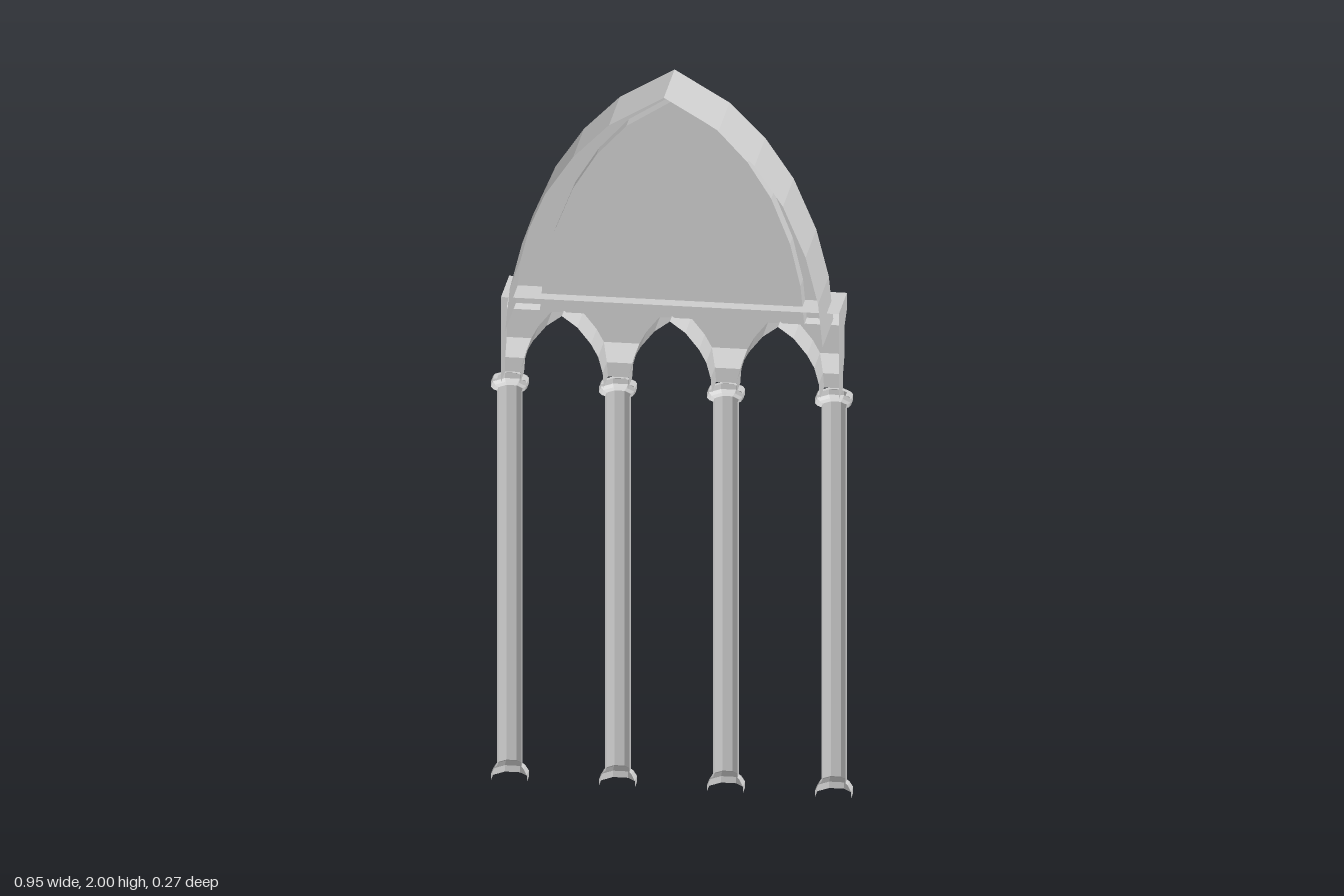
import * as THREE from 'three';

const stone = new THREE.MeshStandardMaterial({ color: 0xcccccc, flatShading: true, side: THREE.DoubleSide });
stone.name = 'pale stone';

const columnX = [-0.429, -0.143, 0.143, 0.429];
const END = 0.447, FRONT = 0.02;

// Faceted sheet through rows of points, all rows having the same length
function loft(rows) {
  const pos = [];
  for (let i = 0; i + 1 < rows.length; i++) {
    for (let j = 0; j + 1 < rows[i].length; j++) {
      const a = rows[i][j], b = rows[i][j + 1], c = rows[i + 1][j + 1], d = rows[i + 1][j];
      pos.push(...a, ...b, ...c, ...a, ...c, ...d);
    }
  }
  const geo = new THREE.BufferGeometry();
  geo.setAttribute('position', new THREE.Float32BufferAttribute(pos, 3));
  geo.computeVertexNormals();
  return geo;
}

function part(name, geo, parent) {
  const mesh = new THREE.Mesh(geo, stone);
  mesh.name = name;
  parent.add(mesh);
  return mesh;
}

// Five back faces of an octagonal turning; profile radii are measured to the flats
function halfOctagon(profile) {
  const k = 1 / Math.cos(Math.PI / 8);
  const pts = profile.map(([r, y]) => new THREE.Vector2(r * k, y));
  return new THREE.LatheGeometry(pts, 5, Math.PI * 3 / 8, Math.PI * 5 / 4).toNonIndexed();
}

// Half of the pointed arch, from foot to apex
const half = [[0.42, 1.32], [0.408, 1.44], [0.375, 1.57], [0.315, 1.71], [0.24, 1.82], [0.145, 1.915], [0, 2]];
const mirrored = (pts) => [...pts, ...pts.slice(0, -1).reverse().map(([x, y]) => [-x, y])];
const outer = mirrored(half);
const inner = mirrored(half.map(([x, y]) => [x * 0.833, 1.32 + (y - 1.32) * 0.897]));
const at = (pts, z) => pts.map(([x, y]) => [x, y, z]);

export function createModel() {
  const model = new THREE.Group();
  model.name = 'gothicArcade';

  // Columns, open towards the front
  for (const x of columnX) {
    const column = new THREE.Group();
    column.name = 'column';
    column.position.set(x, 0, -0.02);
    part('base', halfOctagon([[0.0475, 0], [0.0475, 0.018], [0.038, 0.035], [0.032, 0.04]]), column);
    part('shaft', halfOctagon([[0.032, 0.04], [0.032, 1.095]]), column);
    part('capital', halfOctagon([[0.032, 1.095], [0.041, 1.1], [0.0475, 1.108], [0.0475, 1.123],
      [0.043, 1.13], [0.032, 1.13]]), column);
    model.add(column);
  }

  // Spandrels: height, half width and back depth, flaring into the pointed arches
  const levels = [[1.13, 0.032, -0.06], [1.17, 0.035, -0.06], [1.215, 0.047, -0.09],
    [1.25, 0.066, -0.09], [1.295, 0.102, -0.09], [1.325, 0.143, -0.135]];
  for (const x of columnX) {
    const rows = levels.map(([y, w, z]) => {
      const l = Math.max(x - w, -END), r = Math.min(x + w, END);
      return [[l, y, FRONT], [l, y, z], [r, y, z], [r, y, FRONT]];
    });
    part('spandrel', loft(rows), model);
  }

  // Cornice: back fascia, top slab and ends
  part('cornice', loft([-END, END].map((x) => [[x, 1.325, -0.135], [x, 1.37, -0.135], [x, 1.37, FRONT]])), model);
  for (const s of [-1, 1]) {
    part('corniceEnd', loft([[1.325, -0.135], [1.37, -0.135]].map(([y, z]) =>
      [[s * END, y, z], [s * END, y, FRONT]])), model);
  }

  // Pointed hood with a rim at the back and a recessed panel
  part('archHood', loft([at(outer, 0.135), at(outer, -0.07)]), model);
  part('archRim', loft([at(outer, -0.07), at(inner, -0.07)]), model);
  part('archReveal', loft([at(inner, -0.07), at(inner, -0.02)]), model);
  const panelShape = new THREE.Shape(inner.map(([x, y]) => new THREE.Vector2(x, y)));
  part('archPanel', new THREE.ShapeGeometry(panelShape), model).position.z = -0.02;

  return model;
}
